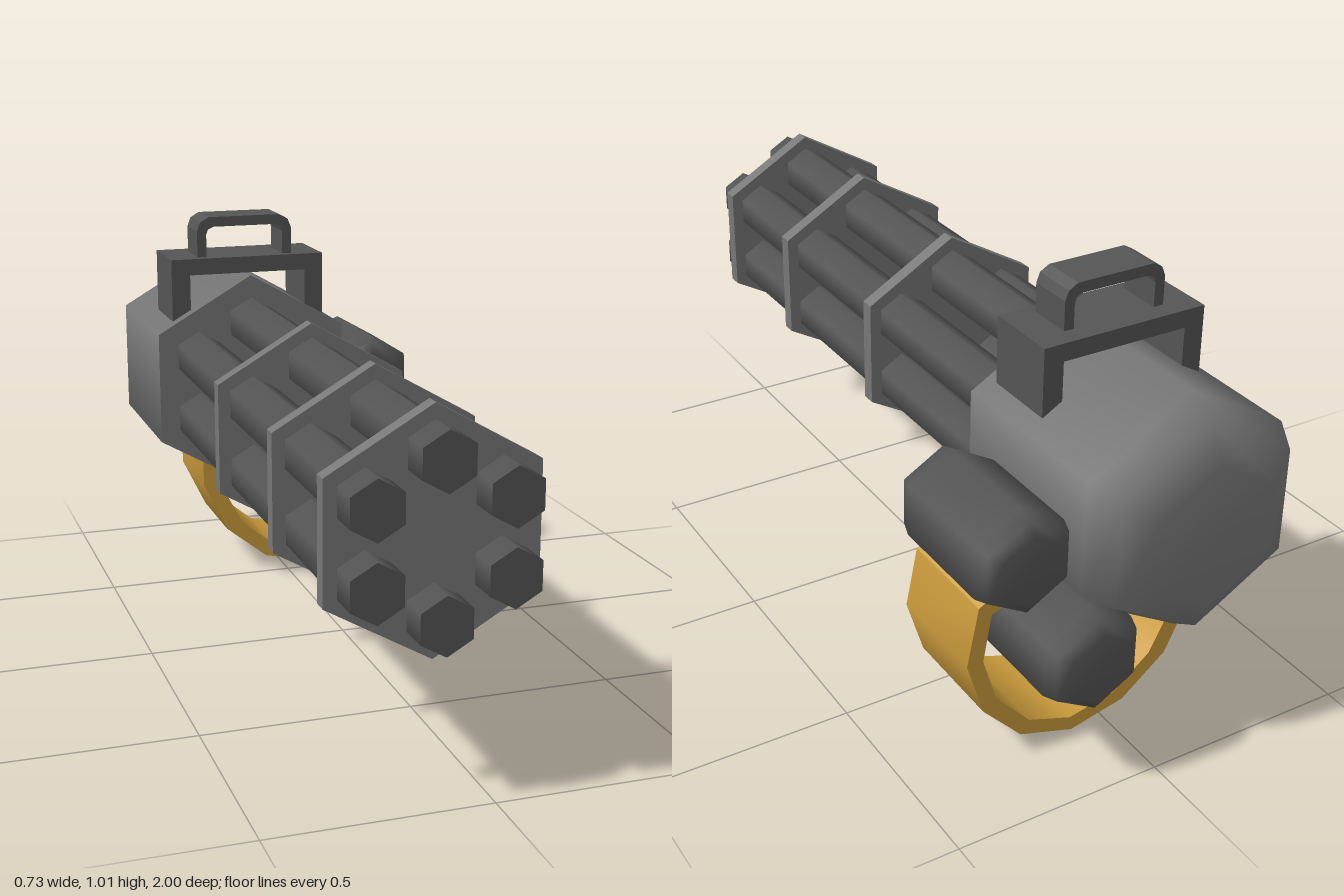
import * as THREE from 'three';
import { toCreasedNormals } from 'three/addons/utils/BufferGeometryUtils.js';

const AXIS = [-0.113, 0.567];
const steel = new THREE.MeshStandardMaterial({ color: 0x777777 });
const dark = new THREE.MeshStandardMaterial({ color: 0x555555 });
const brass = new THREE.MeshStandardMaterial({ color: 0xcc9c3c });

function add(parent, name, geometry, material, x = 0, y = 0, z = 0) {
  const mesh = new THREE.Mesh(geometry, material);
  mesh.name = name;
  mesh.position.set(x, y, z);
  parent.add(mesh);
  return mesh;
}

// Hexagonal prism along z with a corner pointing up
const hexPrism = (r, length) => new THREE.CylinderGeometry(r, r, length, 6).rotateX(Math.PI / 2);

// Hexagonal solid of revolution along z; profile holds [radius, z], back to front
const hexLathe = (profile) =>
  new THREE.LatheGeometry(profile.map(([r, z]) => new THREE.Vector2(r, z)), 6).rotateX(Math.PI / 2);

// Outline in x and y, extruded from z0 to z1
function slab(points, z0, z1) {
  const shape = new THREE.Shape(points.map(([x, y]) => new THREE.Vector2(x, y)));
  return new THREE.ExtrudeGeometry(shape, { depth: z1 - z0, bevelEnabled: false, steps: 1 }).translate(0, 0, z0);
}

export function createModel() {
  const model = new THREE.Group();
  model.name = 'rotaryGun';

  // Housing with a rounded back and a flat front
  const housing = new THREE.Group();
  housing.name = 'housing';
  model.add(housing);
  add(housing, 'housingShell',
    hexLathe([[0, -1], [0.17, -1], [0.25, -0.96], [0.293, -0.885], [0.293, -0.44]]), steel, ...AXIS);
  add(housing, 'housingFront', new THREE.CircleGeometry(0.293, 6, Math.PI / 2), steel, ...AXIS, -0.44);

  // Six barrels around the axis
  const barrels = new THREE.Group();
  barrels.name = 'barrels';
  model.add(barrels);
  const barrel = hexPrism(0.065, 1.46);
  for (let i = 0; i < 6; i++) {
    const a = Math.PI / 2 + (i * Math.PI) / 3;
    add(barrels, 'barrel', barrel, dark, AXIS[0] + 0.168 * Math.cos(a), AXIS[1] + 0.168 * Math.sin(a), 0.27);
  }

  // Plates that clamp the barrels
  const plate = toCreasedNormals(hexPrism(0.267, 0.036), 0.5);
  for (const z of [0.088, 0.548, 0.903]) add(model, 'barrelClamp', plate, steel, ...AXIS, z);

  // Side canisters, rounded at both ends
  const pod = (back, front) => hexLathe([
    [0, back], [0.085, back], [0.113, back + 0.02], [0.125, back + 0.055],
    [0.125, front - 0.055], [0.113, front - 0.02], [0.085, front], [0, front],
  ]);
  add(model, 'upperCanister', pod(-0.875, -0.49), dark, 0.253, 0.531);
  add(model, 'lowerCanister', pod(-0.995, -0.44), dark, 0.155, 0.325);

  // Bracket over the housing
  add(model, 'handleBracket', slab([
    [-0.32, 0.74], [-0.27, 0.74], [-0.27, 0.862], [0.047, 0.862],
    [0.047, 0.74], [0.097, 0.74], [0.097, 0.905], [-0.32, 0.905],
  ], -0.657, -0.475), dark);

  // Carrying handle with cut corners, mirrored about its centre
  const half = [[0.105, 0.9], [0.13, 0.9], [0.13, 0.975], [0.121, 0.998], [0.098, 1.011]];
  const inner = [[0.085, 0.985], [0.1, 0.978], [0.105, 0.965]];
  const mirror = (pts) => pts.map(([x, y]) => [-x, y]).reverse();
  const loop = [...half, ...mirror(half), ...mirror(inner), ...inner];
  add(model, 'carryingHandle', slab(loop, -0.61, -0.5), dark, -0.113);

  // Feed belt hanging from the housing round to the upper canister
  const outside = [[-0.229, 0.4], [-0.229, 0.257], [-0.164, 0.122], [-0.052, 0.032], [0.087, 0.001],
    [0.223, 0.043], [0.322, 0.147], [0.365, 0.283], [0.338, 0.425], [0.27, 0.46]];
  const inside = [[-0.183, 0.4], [-0.183, 0.26], [-0.119, 0.136], [-0.025, 0.061], [0.092, 0.037],
    [0.202, 0.075], [0.29, 0.171], [0.325, 0.283], [0.306, 0.398], [0.25, 0.42]];
  add(model, 'feedBelt', toCreasedNormals(slab([...outside, ...inside.reverse()], -0.803, -0.543), 0.75), brass);

  return model;
}
